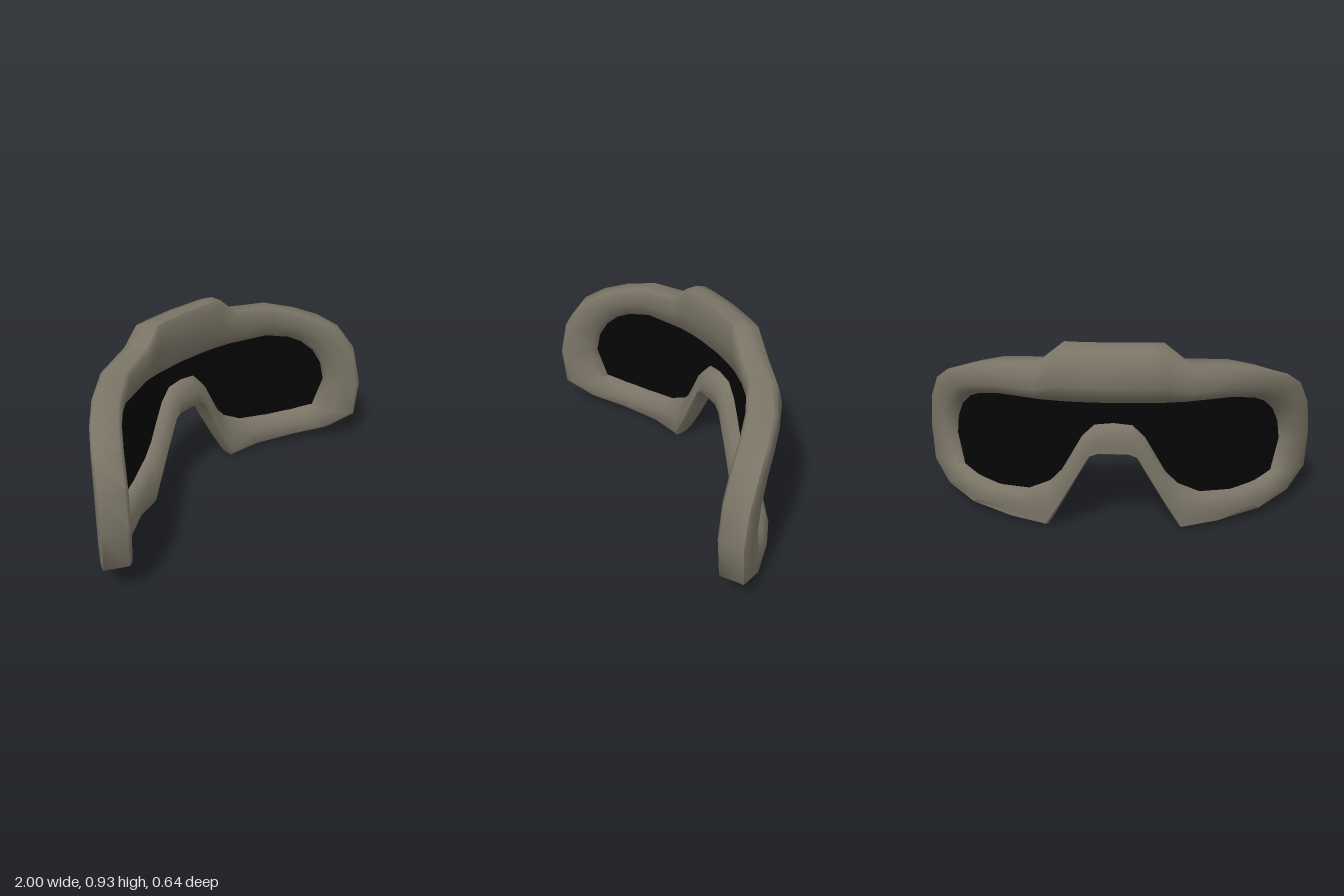
import * as THREE from 'three';
import { toCreasedNormals } from 'three/addons/utils/BufferGeometryUtils.js';

// The face curve: depth z and outward direction for any x
const A = 0.3, B = 0.27;
const curveZ = x => -0.21 + A * x * x + B * x ** 4;
function bend(x, y, n) {
  const slope = 2 * A * x + 4 * B * x ** 3, len = Math.hypot(slope, 1);
  return [x + n * slope / len, y, curveZ(x) - n / len];
}

// Half of the frame, from brow centre round the side to the nose centre:
// outline x, y, opening x, y, rim depth, bulge depth
const half = [
  [0, 0.925, 0, 0.652, 0.01, 0.115],
  [0.17, 0.925, 0.17, 0.652, 0.01, 0.115],
  [0.24, 0.925, 0.24, 0.652, 0.01, 0.105],
  [0.34, 0.845, 0.34, 0.652, 0.02, 0.1],
  [0.56, 0.822, 0.56, 0.652, 0.04, 0.09],
  [0.7, 0.775, 0.67, 0.627, 0.05, 0.078],
  [0.8, 0.725, 0.73, 0.595, 0.055, 0.072],
  [0.875, 0.655, 0.78, 0.54, 0.06, 0.068],
  [0.93, 0.53, 0.815, 0.46, 0.06, 0.066],
  [0.952, 0.36, 0.83, 0.36, 0.06, 0.066],
  [0.942, 0.165, 0.793, 0.2, 0.06, 0.064],
  [0.85, 0.077, 0.705, 0.175, 0.05, 0.062],
  [0.7, 0.04, 0.58, 0.163, 0.04, 0.06],
  [0.5, 0.02, 0.42, 0.178, 0.025, 0.052],
  [0.325, 0, 0.31, 0.235, 0.01, 0.046],
  [0.262, 0.11, 0.25, 0.3, 0.02, 0.046],
  [0.19, 0.24, 0.2, 0.39, 0.025, 0.046],
  [0.11, 0.385, 0.15, 0.48, 0.025, 0.046],
  [0.07, 0.4, 0.09, 0.54, 0.025, 0.046],
  [0, 0.4, 0, 0.55, 0.025, 0.046],
];

// Padded cross-section: share of the way from outline to opening, depth
const section = (rim, bulge) => [
  [0, -0.052], [0, rim], [0.07, Math.min(0.066, bulge)], [0.3, (bulge + Math.min(0.066, bulge)) / 2],
  [0.62, bulge], [0.86, bulge * 0.65], [1, 0.01],
  [1, -0.01], [0.87, -0.042], [0.5, -0.062], [0.1, -0.067],
];

function geometryFrom(positions, index) {
  const g = new THREE.BufferGeometry();
  g.setAttribute('position', new THREE.Float32BufferAttribute(positions, 3));
  g.setIndex(index);
  return g;
}

// Closed loop of cross-sections, mirrored across x
function frameGeometry() {
  const mirrored = half.slice(1, -1).reverse().map(([ox, oy, ix, ...rest]) => [-ox, oy, -ix, ...rest]);
  const stations = [...half, ...mirrored];
  const positions = [], index = [];
  const count = stations.length, ring = section(0, 0).length;
  stations.forEach(([ox, oy, ix, iy, rim, bulge], i) => {
    section(rim, bulge).forEach(([t, n], j) => {
      positions.push(...bend(ox + (ix - ox) * t, oy + (iy - oy) * t, n));
      const next = (i + 1) % count, k = (j + 1) % ring;
      const a = i * ring + j, b = next * ring + j, c = next * ring + k, d = i * ring + k;
      index.push(a, b, c, a, c, d);
    });
  });
  return toCreasedNormals(geometryFrom(positions, index), 1.0);
}

// Height of an opening edge at x, read along a chain sorted by x
function heightAt(chain, x) {
  const k = Math.max(1, chain.findIndex(p => p[0] >= x - 1e-6));
  const [x0, y0] = chain[k - 1], [x1, y1] = chain[k];
  return y0 + (y1 - y0) * (x - x0) / (x1 - x0);
}

// Curved sheet filling the opening
function lensGeometry() {
  const opening = half.map(s => [s[2], s[3]]);
  const xs = opening.map(p => p[0]).sort((p, q) => p - q).filter((x, i, all) => x !== all[i - 1]);
  const widest = opening.findIndex(p => p[0] === xs[xs.length - 1]);
  const upper = opening.slice(0, widest + 1), lower = opening.slice(widest).reverse();
  const columns = [...xs.slice(1).reverse().map(x => -x), ...xs];
  const positions = [], index = [];
  columns.forEach((x, i) => {
    positions.push(...bend(x, heightAt(upper, Math.abs(x)), 0), ...bend(x, heightAt(lower, Math.abs(x)), 0));
    if (i > 0) {
      const a = 2 * i - 2;
      index.push(a, a + 1, a + 3, a, a + 3, a + 2);
    }
  });
  const g = geometryFrom(positions, index);
  g.computeVertexNormals();
  return g;
}

export function createModel() {
  const rubber = new THREE.MeshStandardMaterial({ color: 0x7a7466 });
  rubber.name = 'grey brown rubber';
  const glass = new THREE.MeshStandardMaterial({ color: 0x050505, side: THREE.DoubleSide });
  glass.name = 'black lens';

  const group = new THREE.Group();
  group.name = 'goggles';
  const frame = new THREE.Mesh(frameGeometry(), rubber);
  frame.name = 'frame';
  const lens = new THREE.Mesh(lensGeometry(), glass);
  lens.name = 'lens';
  group.add(frame, lens);
  return group;
}
